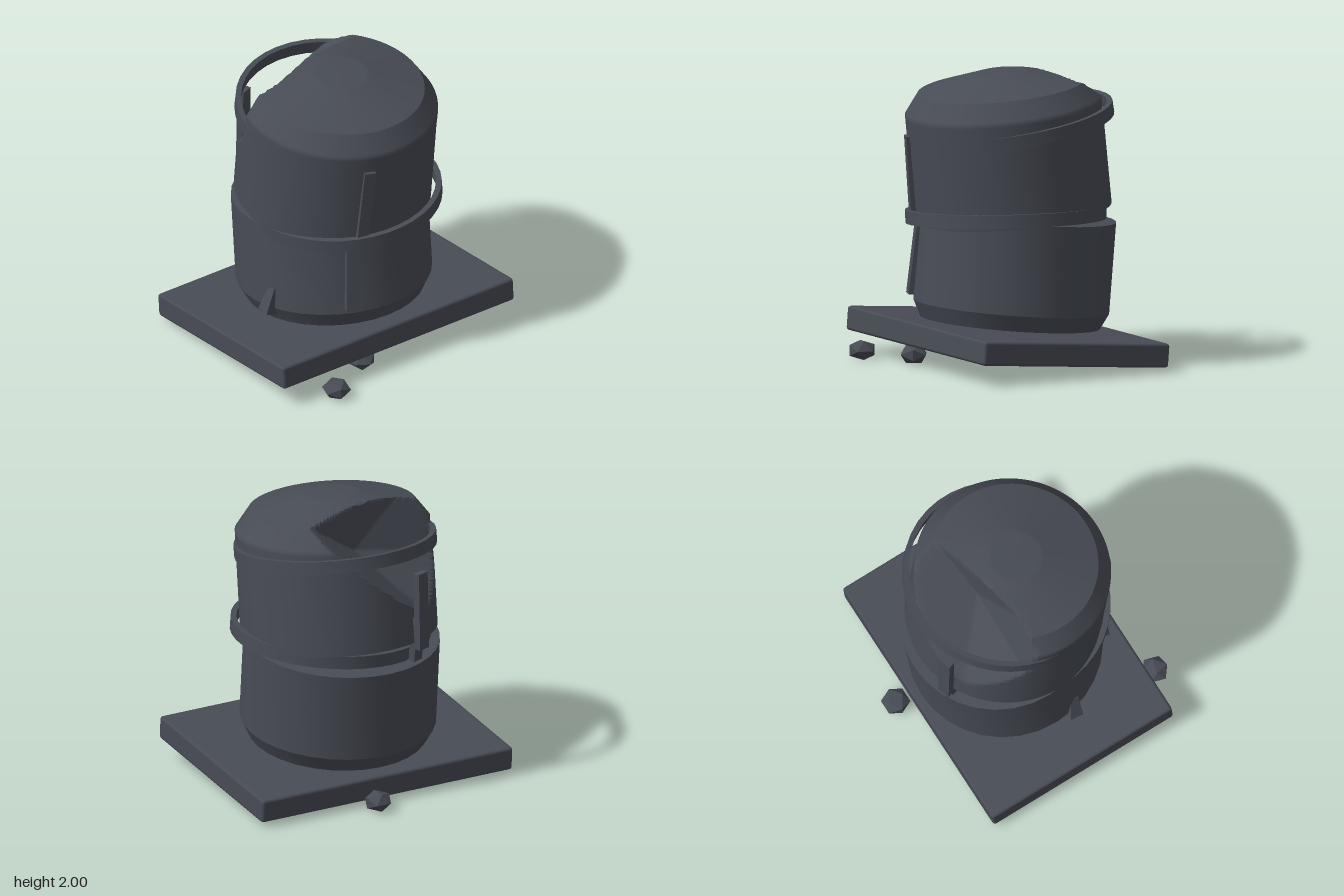
import * as THREE from 'three';
import { toCreasedNormals } from 'three/addons/utils/BufferGeometryUtils.js';
import { RoundedBoxGeometry } from 'three/addons/geometries/RoundedBoxGeometry.js';

const V = (x, y, z) => new THREE.Vector3(x, y, z);

export function createModel() {
  const model = new THREE.Group();
  const slate = new THREE.MeshStandardMaterial({ color: 0x484c55 });
  slate.name = 'slate';

  function add(name, geometry, pos = [0, 0, 0], rot = [0, 0, 0]) {
    const mesh = new THREE.Mesh(geometry, slate);
    mesh.name = name;
    mesh.position.set(...pos);
    mesh.rotation.set(...rot);
    model.add(mesh);
    return mesh;
  }

  // Turned solid from [radius, height] pairs, optionally resampled finely
  function turned(profile, segments, step = 10) {
    const points = [new THREE.Vector2(...profile[0])];
    for (let i = 1; i < profile.length; i++) {
      const a = new THREE.Vector2(...profile[i - 1]);
      const b = new THREE.Vector2(...profile[i]);
      const n = Math.max(1, Math.ceil(a.distanceTo(b) / step));
      for (let k = 1; k <= n; k++) points.push(a.clone().lerp(b, k / n));
    }
    return new THREE.LatheGeometry(points, segments);
  }

  // Tilted base slab
  add('baseSlab', new RoundedBoxGeometry(1.43, 0.165, 1.94, 1, 0.02), [0, 0.185, 0], [0, 0, 0.08]);
  add('basePivot', new THREE.CylinderGeometry(0.02, 0.02, 0.08, 8), [0, 0.275, 0], [0, 0, 0.08]);

  // Lower half of the tank, leaning to its right
  const lower = turned([[0, 0], [0.61, 0], [0.665, 0.11], [0.665, 0.73], [0, 0.73]], 32);
  add('lowerTank', toCreasedNormals(lower, 0.45), [-0.015, 0.285, 0], [0, 0, 0.087]);

  // Upper half, leaning to its left, with a faceted bite broken out of the shoulder
  const upper = turned(
    [[0, 0], [0.667, 0], [0.667, 0.73], [0.57, 0.865], [0.18, 0.96], [0, 0.963]], 128, 0.02);
  upper.rotateZ(-0.105).translate(-0.04, 1.04, 0);
  const centre = V(0, 1.4, 0);
  const top = V(-0.33, 1.93, -0.36), fold = V(-0.24, 1.68, 0), rim = V(-0.14, 1.96, 0.38);
  const front = V(-0.24, 1.57, 0.57), low = V(-0.53, 1.32, 0.35), back = V(-0.59, 1.72, -0.21);
  const planes = [[top, fold, rim], [fold, rim, front], [fold, front, low], [fold, top, back]]
    .map((corners) => {
      const plane = new THREE.Plane().setFromCoplanarPoints(...corners);
      if (plane.distanceToPoint(centre) > 0) plane.negate();
      return plane;
    });
  const positions = upper.attributes.position;
  const p = V(0, 0, 0);
  for (let i = 0; i < positions.count; i++) {
    p.fromBufferAttribute(positions, i).sub(centre);
    // Pull points lying beyond every plane back toward the centre
    let s = 0;
    for (const plane of planes) {
      const along = plane.normal.dot(p);
      s = Math.max(s, along > 0 ? -plane.distanceToPoint(centre) / along : Infinity);
    }
    p.multiplyScalar(Math.min(1, s)).add(centre);
    positions.setXYZ(i, p.x, p.y, p.z);
  }
  add('upperTank', toCreasedNormals(upper, 0.65));

  // Loose hoops
  function hoop(name, inner, outer, height, pos, rot) {
    const h = height / 2;
    const g = turned([[inner, -h], [outer, -h], [outer, h], [inner, h], [inner, -h]], 40);
    add(name, toCreasedNormals(g, 0.5), pos, rot);
  }
  hoop('upperHoop', 0.65, 0.687, 0.09, [-0.025, 1.66, -0.02], [0, 0, -0.165]);
  hoop('middleHoop', 0.64, 0.68, 0.09, [0.03, 1.03, -0.025], [0.065, 0, 0.01]);

  // Broken side staves
  function stave(name, size, pos, rot) {
    add(name, new THREE.BoxGeometry(...size), pos, rot);
  }
  stave('leftUpperStave', [0.06, 0.58, 0.08], [0.62, 1.29, 0.215], [-0.075, -0.3, -0.1]);
  stave('leftLowerStave', [0.07, 0.48, 0.085], [0.55, 0.72, 0.28], [-0.04, -0.3, 0.1]);
  stave('rightUpperStave', [0.05, 0.55, 0.09], [-0.665, 1.335, 0.285], [0, 0.35, -0.02]);
  stave('rightLowerStave', [0.05, 0.32, 0.08], [-0.63, 1.12, 0.27], [0, 0.35, 0.08]);

  // Small wedge on the front foot of the tank
  const wedge = new THREE.CylinderGeometry(0.042, 0.068, 0.19, 4, 1).toNonIndexed();
  wedge.rotateY(Math.PI / 4);
  wedge.computeVertexNormals();
  add('frontWedge', wedge, [0.125, 0.465, 0.635], [-0.25, 0, -0.1]);

  // Scattered rubble: x, y, z, radius
  const rocks = [
    [-0.81, 0.08, -0.13, 0.1], [0.8, 0.075, 0.59, 0.1], [0.6, 0.08, 0.23, 0.1],
    [-0.32, 0.06, 0.38, 0.07], [-0.55, 0.06, -0.1, 0.05],
  ];
  rocks.forEach(([x, y, z, r], i) => {
    const rock = add('rock' + (i + 1), new THREE.IcosahedronGeometry(r, 0), [x, y, z], [0, i * 1.3, 0]);
    rock.scale.set(1, 0.72, 1);
  });

  return model;
}
